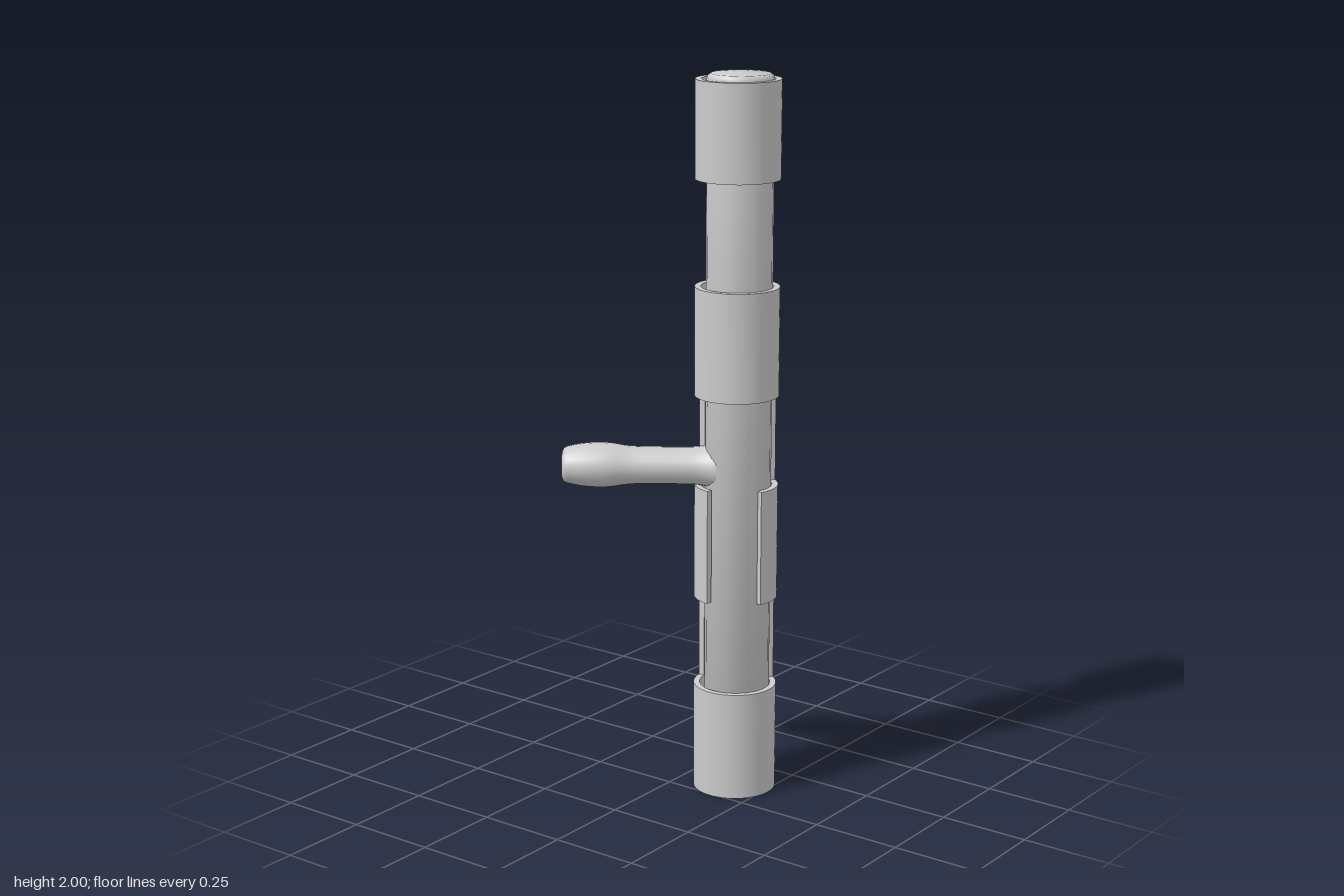
import * as THREE from 'three';
import { toCreasedNormals } from 'three/addons/utils/BufferGeometryUtils.js';

const grey = new THREE.MeshStandardMaterial({ color: 0xcccccc });
const deg = Math.PI / 180;
const OUTER = 0.115, INNER = 0.098;

function part(name, geometry, parent) {
  const mesh = new THREE.Mesh(geometry, grey);
  mesh.name = name;
  parent.add(mesh);
  return mesh;
}

// Tube wall between two heights; from/to are angles from +x towards +z
function wall(y0, y1, from = 0, to = 360) {
  const shape = new THREE.Shape();
  const full = to - from >= 360;
  shape.absarc(0, 0, OUTER, from * deg, to * deg, false);
  if (full) {
    const hole = new THREE.Path();
    hole.absarc(0, 0, INNER, 0, Math.PI * 2, true);
    shape.holes.push(hole);
  } else {
    shape.absarc(0, 0, INNER, to * deg, from * deg, true);
    shape.closePath();
  }
  const geo = new THREE.ExtrudeGeometry(shape, {
    depth: y1 - y0, bevelEnabled: false, curveSegments: Math.round((to - from) / 12),
  });
  geo.rotateX(Math.PI / 2);
  geo.translate(0, y1, 0);
  return toCreasedNormals(geo, 35 * deg);
}

function lathe(points, sides) {
  const profile = points.map(([r, y]) => new THREE.Vector2(r, y));
  return toCreasedNormals(new THREE.LatheGeometry(profile, sides), 50 * deg);
}

export function createModel() {
  const model = new THREE.Group();
  model.name = 'slidingBolt';

  // Fixed housing: full rings joined by walls with an open channel
  const housing = new THREE.Group();
  housing.name = 'housing';
  housing.position.set(0.149, 0, -0.105);
  model.add(housing);
  part('receiverSleeve', wall(1.72, 1.985), housing);
  part('upperSleeve', wall(1.13, 1.43), housing);
  part('upperWindowWall', wall(0.88, 1.13, 173, 304), housing);
  part('middleSleeve', wall(0.56, 0.88, 97, 378), housing);
  part('lowerWindowWall', wall(0.305, 0.56, 173, 304), housing);
  part('lowerSleeve', wall(0, 0.305), housing);

  // Sliding rod with bevelled ends
  const bolt = new THREE.Group();
  bolt.name = 'bolt';
  bolt.position.set(0.158, 0, -0.102);
  model.add(bolt);
  part('rod', lathe([
    [0, 0.2], [0.082, 0.2], [0.09, 0.21], [0.09, 1.985], [0.088, 1.994], [0.08, 2], [0, 2],
  ], 20), bolt);

  // Handle: flared root, slim shaft, swollen grip with a blunt end
  const arm = new THREE.Group();
  arm.name = 'handleArm';
  arm.position.set(-0.002, 0.931, -0.003);
  arm.rotation.y = Math.atan2(-0.576, -0.817);
  bolt.add(arm);
  const grip = new THREE.SplineCurve([
    [0.074, 0.06], [0.063, 0.1], [0.06, 0.14], [0.06, 0.24], [0.062, 0.3],
    [0.07, 0.345], [0.072, 0.385], [0.068, 0.43], [0.059, 0.468],
  ].map(([r, y]) => new THREE.Vector2(r, y))).getPoints(24).map((p) => [p.x, p.y]);
  const handle = part('handle', lathe([...grip, [0.054, 0.477], [0.045, 0.481], [0, 0.482]], 24), arm);
  handle.rotation.z = -Math.PI / 2;
  handle.scale.x = 0.85;

  return model;
}
